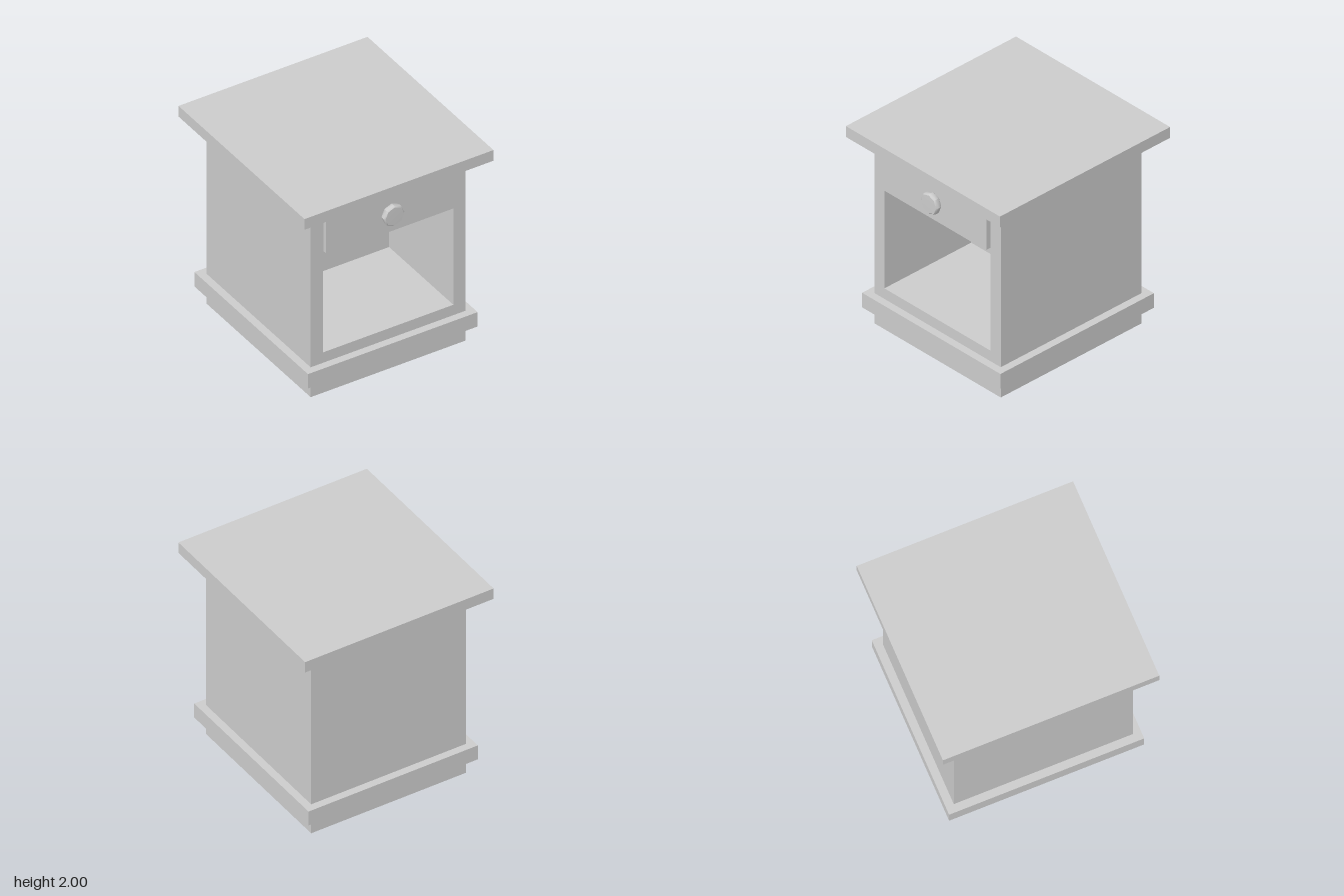
import * as THREE from 'three';
import { toCreasedNormals } from 'three/addons/utils/BufferGeometryUtils.js';

const grey = new THREE.MeshStandardMaterial({ color: 0xcccccc });

function part(name, geometry, parent) {
  const mesh = new THREE.Mesh(geometry, grey);
  mesh.name = name;
  parent.add(mesh);
  return mesh;
}

// Box given by its half width, y range and z range
function boxGeometry(halfX, y0, y1, z0, z1) {
  return new THREE.BoxGeometry(2 * halfX, y1 - y0, z1 - z0)
    .translate(0, (y0 + y1) / 2, (z0 + z1) / 2);
}

// The same box without its front face; inward turns its faces to the inside
function openBox(halfX, y0, y1, z0, z1, inward = false) {
  const g = boxGeometry(halfX, y0, y1, z0, z1);
  const index = Array.from(g.index.array);
  index.splice(24, 6); // front (+z) face
  if (inward) index.reverse();
  g.clearGroups();
  g.setIndex(index);
  g.computeVertexNormals();
  return g;
}

function trace(path, halfX, y0, y1) {
  path.moveTo(-halfX, y0).lineTo(halfX, y0).lineTo(halfX, y1).lineTo(-halfX, y1).closePath();
  return path;
}

export function createModel() {
  const model = new THREE.Group();
  model.name = 'nightstand';
  const front = 0.82;

  // Cabinet: outer shell, front frame and open compartment
  const cabinet = new THREE.Group();
  cabinet.name = 'cabinet';
  model.add(cabinet);
  part('cabinetShell', openBox(0.777, 0, 1.89, -front, front), cabinet);
  part('compartment', openBox(0.653, 0.415, 1.408, -0.19, front, true), cabinet);
  const frame = trace(new THREE.Shape(), 0.777, 0, 1.89);
  frame.holes.push(trace(new THREE.Path(), 0.653, 0.415, 1.408));
  part('frontFrame', new THREE.ShapeGeometry(frame).translate(0, 0, front), cabinet);

  // Overhanging top and base moulding
  part('tableTop', boxGeometry(0.947, 1.89, 2, -0.99, 0.99), model);
  part('baseMoulding', boxGeometry(0.85, 0.16, 0.308, -0.893, 0.893), model);

  // Drawer front with an eight-sided bevelled knob
  part('drawerFront', boxGeometry(0.65, 1.46, 1.805, front, 0.865), model);
  const profile = [[0.093, 0], [0.103, 0.01], [0.103, 0.047], [0.092, 0.06], [0, 0.062]]
    .map(([r, h]) => new THREE.Vector2(r, h));
  const knobShape = new THREE.LatheGeometry(profile, 8).rotateX(Math.PI / 2);
  const knob = part('drawerKnob', toCreasedNormals(knobShape, 0.75), model);
  knob.position.set(0, 1.634, 0.865);

  return model;
}
